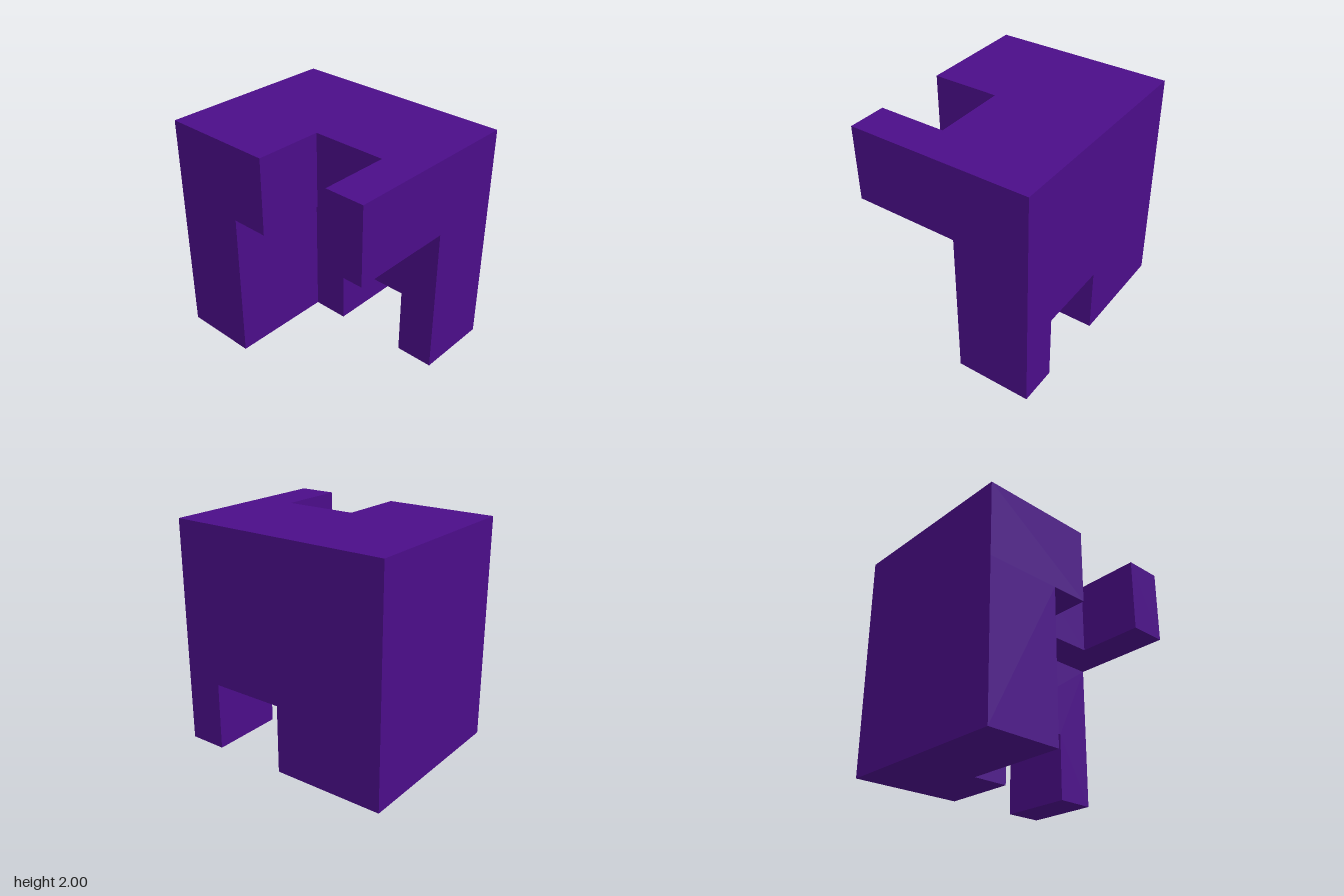
import * as THREE from 'three';

const material = new THREE.MeshStandardMaterial({ color: 0x4b0d89 });

// Extrudes a 2D outline by the given depth along +z.
function prism(name, points, depth) {
  const shape = new THREE.Shape(points.map(([x, y]) => new THREE.Vector2(x, y)));
  const geometry = new THREE.ExtrudeGeometry(shape, { depth, bevelEnabled: false });
  const mesh = new THREE.Mesh(geometry, material);
  mesh.name = name;
  return mesh;
}

export function createModel() {
  const group = new THREE.Group();
  group.name = 'interlockingBlock';

  const top = 2, ledge = 1.335, back = -0.8, front = 0.8;
  const wallFront = -0.13, columnSide = -0.33;
  const gapStart = 0, gapEnd = 0.66;

  // Upper slab: plan outline (x, -z) with a notch open to the front
  const slab = prism('upperSlab', [
    [-1, -front], [gapStart, -front], [gapStart, -0.2], [gapEnd, -0.2],
    [gapEnd, -front], [1, -front], [1, -back], [-1, -back],
  ], top - ledge);
  slab.rotation.x = -Math.PI / 2;
  slab.position.y = ledge;
  group.add(slab);

  // Full-depth column on the model's right
  const column = new THREE.Mesh(
    new THREE.BoxGeometry(columnSide + 1, ledge, front - back), material);
  column.name = 'sideColumn';
  column.position.set((columnSide - 1) / 2, ledge / 2, 0);
  group.add(column);

  // Rear wall with a doorway cut through its foot
  const wall = prism('rearWall', [
    [columnSide, 0], [gapStart, 0], [gapStart, 0.605], [gapEnd, 0.605],
    [gapEnd, 0], [1, 0], [1, ledge], [columnSide, ledge],
  ], wallFront - back);
  wall.position.z = back;
  group.add(wall);

  return group;
}
